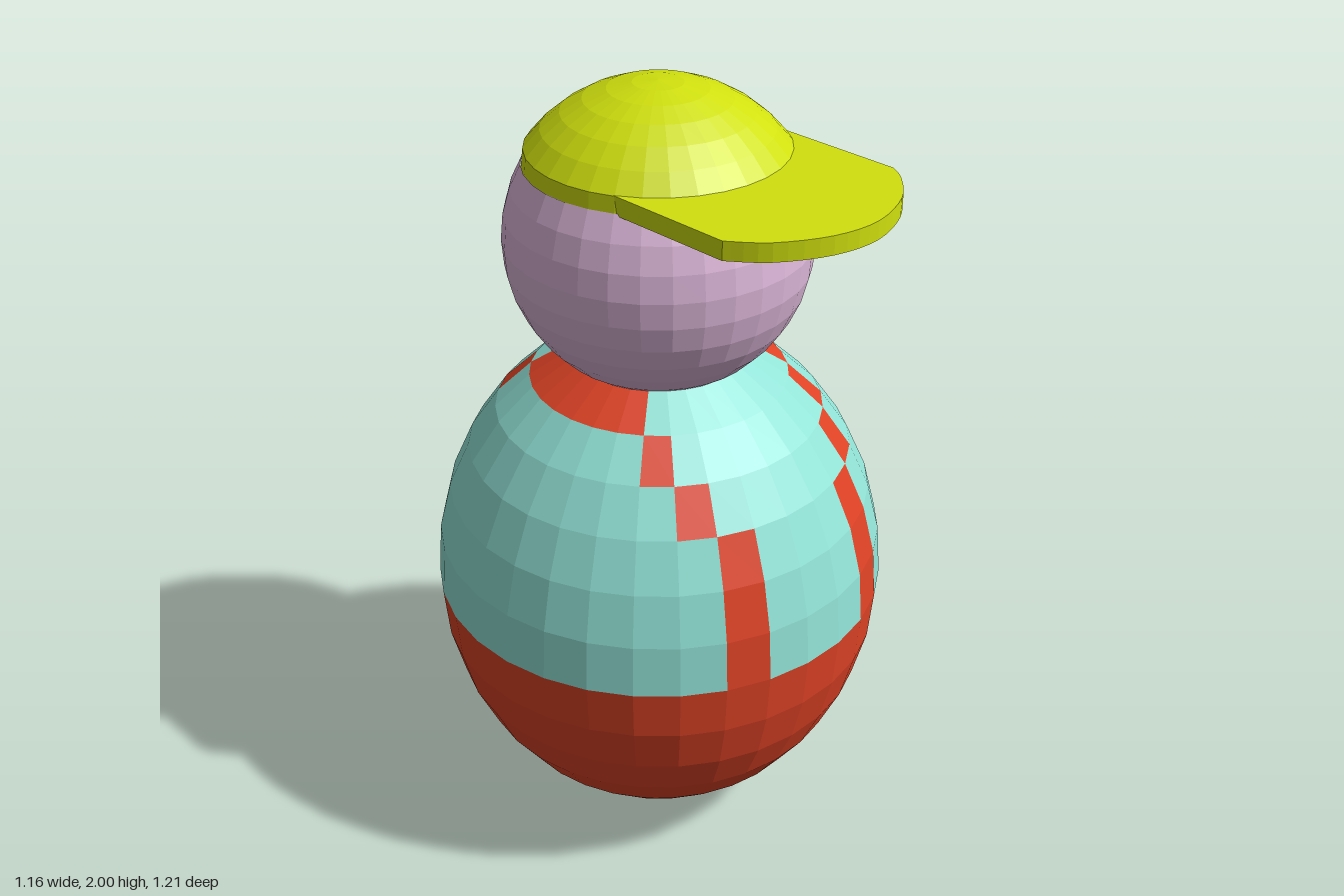
import * as THREE from 'three';

const SEG = 32, STEP = Math.PI * 2 / SEG, CZ = -0.025;
const mat = (color, side = THREE.FrontSide) =>
  new THREE.MeshStandardMaterial({ color, flatShading: true, side });
const red = mat(0xe04326), teal = mat(0x92e3d7), pink = mat(0xdfb9dc);
const yellow = mat(0xd0e00e, THREE.DoubleSide);

function part(name, geometry, material, y = 0, z = CZ) {
  const m = new THREE.Mesh(geometry, material);
  m.name = name;
  m.position.set(0, y, z);
  return m;
}

// Red cells of the shirt: [first, last] columns for each ring above the waist,
// columns counted from the front towards +x. The straps meet over the shoulders.
const STRAPS = [
  ...Array(3).fill([[1, 1], [12, 12], [16, 16], [29, 29]]),
  [[2, 2], [11, 11], [17, 17], [28, 28]],
  [[3, 3], [10, 10], [18, 18], [27, 27]],
  [[4, 9], [19, 26]],
];

// Chooses the colour of one facet from its centre on the unit sphere
function clothing(c) {
  if (c.y < 0) return 'trousers';
  const ring = Math.floor(Math.asin(c.y / c.length()) / STEP);
  if (ring > 5) return 'neck';
  const col = Math.floor(((Math.atan2(c.x, c.z) + Math.PI * 2) % (Math.PI * 2)) / STEP);
  return STRAPS[ring].some(([a, b]) => col >= a && col <= b) ? 'straps' : 'shirt';
}

// Egg-shaped body, its facets sorted into clothing parts
function makeBody() {
  const group = new THREE.Group();
  group.name = 'body';
  const pos = new THREE.SphereGeometry(1, SEG, 16).toNonIndexed().attributes.position;
  const cells = { trousers: [], straps: [], shirt: [], neck: [] };
  const v = [0, 1, 2].map(() => new THREE.Vector3());
  for (let i = 0; i < pos.count; i += 3) {
    v.forEach((p, k) => p.fromBufferAttribute(pos, i + k));
    const c = v[0].clone().add(v[1]).add(v[2]).divideScalar(3);
    for (const p of v) cells[clothing(c)].push(p.x * 0.58, p.y * 0.685, p.z * 0.58);
  }
  const mats = { trousers: red, straps: red, shirt: teal, neck: pink };
  for (const name in cells) {
    const g = new THREE.BufferGeometry();
    g.setAttribute('position', new THREE.Float32BufferAttribute(cells[name], 3));
    g.computeVertexNormals();
    group.add(part(name, g, mats[name], 0.685));
  }
  return group;
}

// Cap: shallow dome, upright band and a flat, slightly askew brim
function makeCap() {
  const group = new THREE.Group();
  group.name = 'cap';
  const R = 0.395, angle = Math.asin(0.313 / R);
  const dome = new THREE.SphereGeometry(R, SEG, 6, 0, Math.PI * 2, 0, angle);
  group.add(part('capDome', dome, yellow, 2 - R));
  const bandTop = 2 - R + R * Math.cos(angle), bandLow = 1.8;
  const band = new THREE.CylinderGeometry(0.313, 0.318, bandTop - bandLow, SEG, 1, true);
  // line the band's columns up with the dome
  group.add(part('capBand', band, yellow, (bandTop + bandLow) / 2));

  const edge = new THREE.SplineCurve([
    [-0.32, 0.415], [-0.26, 0.5], [-0.15, 0.577], [-0.03, 0.605],
    [0.1, 0.576], [0.19, 0.515], [0.227, 0.47],
  ].map(([x, z]) => new THREE.Vector2(x, -z)));
  const shape = new THREE.Shape([
    new THREE.Vector2(-0.281, 0), ...edge.getPoints(24), new THREE.Vector2(0.27, 0),
  ]);
  const brim = new THREE.ExtrudeGeometry(shape, { depth: 0.045, bevelEnabled: false });
  brim.rotateX(-Math.PI / 2);
  group.add(part('capBrim', brim, yellow, 1.802, 0));
  return group;
}

export function createModel() {
  const model = new THREE.Group();
  model.name = 'figure';
  // Head is left open where the cap covers it
  const start = Math.acos(0.193 / 0.373);
  const head = new THREE.SphereGeometry(0.373, SEG, 12, 0, Math.PI * 2, start, Math.PI - start);
  model.add(makeBody(), part('head', head, pink, 1.615), makeCap());
  return model;
}
